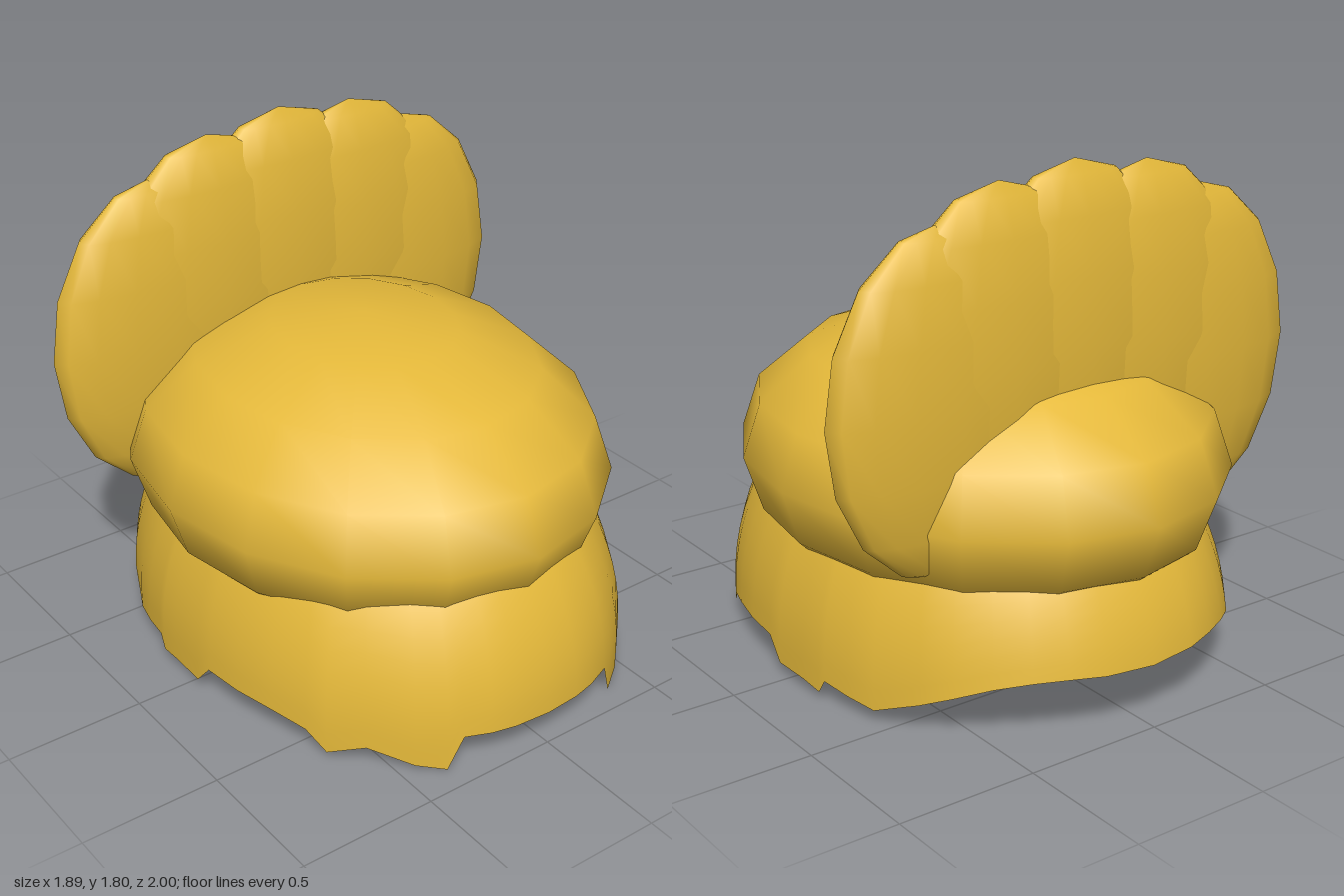
import * as THREE from 'three';

const gold = new THREE.MeshStandardMaterial({ color: 0xe5b93a });
const goldShell = new THREE.MeshStandardMaterial({ color: 0xe5b93a, side: THREE.DoubleSide });

// Smooth 16 x 8 ellipsoid
function ellipsoid(name, center, radii) {
  const geometry = new THREE.SphereGeometry(1, 16, 8).scale(...radii);
  const mesh = new THREE.Mesh(geometry, gold);
  mesh.name = name;
  mesh.position.set(...center);
  return mesh;
}

// Ragged lower edge from front to back: [z, y]
const RIM = [
  [1, 0.125], [0.99, 0.125], [0.97, 0.125], [0.935, 0.128], [0.91, 0], [0.85, 0.02],
  [0.735, 0.075], [0.62, 0.02], [0.55, 0.09], [0.42, 0.115], [0.27, 0.118], [0.12, 0.12],
  [0.05, 0.04], [-0.1, 0.04], [-0.19, 0.025], [-0.22, 0.075], [-0.33, 0.06], [-0.44, 0.045],
  [-0.6, 0.11], [-0.7, 0.155], [-0.8, 0.2], [-0.88, 0.223], [-0.94, 0.23], [-0.98, 0.225], [-1, 0.22],
];

// Open flaring shell whose top tucks into the cap
function buildSkirt() {
  const rows = 8, top = 0.63, power = 2.15;
  const half = RIM.map(([z, y]) => [0.79 * Math.pow(Math.max(0, 1 - Math.pow(Math.abs(z), power)), 1 / power), y, z]);
  const mirrored = half.slice(1, -1).reverse().map(([x, y, z]) => [-x, y, z]);
  const columns = [...half, ...mirrored];
  const positions = [], index = [];
  columns.forEach(([x, rimY, z], c) => {
    for (let r = 0; r <= rows; r++) {
      const y = THREE.MathUtils.lerp(rimY, top, r / rows);
      const s = Math.sqrt(1 - Math.pow(Math.max(0, y - 0.1) / 0.93, 2));
      positions.push(x * s, y, z * s);
      if (r === rows) continue;
      const a = c * (rows + 1) + r;
      const b = ((c + 1) % columns.length) * (rows + 1) + r;
      index.push(a, b, b + 1, a, b + 1, a + 1);
    }
  });
  const geometry = new THREE.BufferGeometry();
  geometry.setAttribute('position', new THREE.Float32BufferAttribute(positions, 3));
  geometry.setIndex(index);
  geometry.computeVertexNormals();
  const mesh = new THREE.Mesh(geometry, goldShell);
  mesh.name = 'skirt';
  return mesh;
}

export function createModel() {
  const model = new THREE.Group();
  model.name = 'crestedHat';

  // Domed cap
  model.add(ellipsoid('cap', [0, 0.7, -0.04], [0.81, 0.51, 0.96]));

  // Torn skirt below the cap
  model.add(buildSkirt());

  // Fan crest of five overlapping lobes
  const crest = new THREE.Group();
  crest.name = 'crest';
  crest.add(ellipsoid('middleLobe', [0, 1.215, -0.54], [0.44, 0.59, 0.12]));
  for (const [side, sign] of [['left', 1], ['right', -1]]) {
    crest.add(ellipsoid(side + 'InnerLobe', [0.3 * sign, 1.18, -0.54], [0.44, 0.59, 0.12]));
    crest.add(ellipsoid(side + 'OuterLobe', [0.505 * sign, 1.085, -0.54], [0.44, 0.585, 0.115]));
  }
  model.add(crest);

  return model;
}
